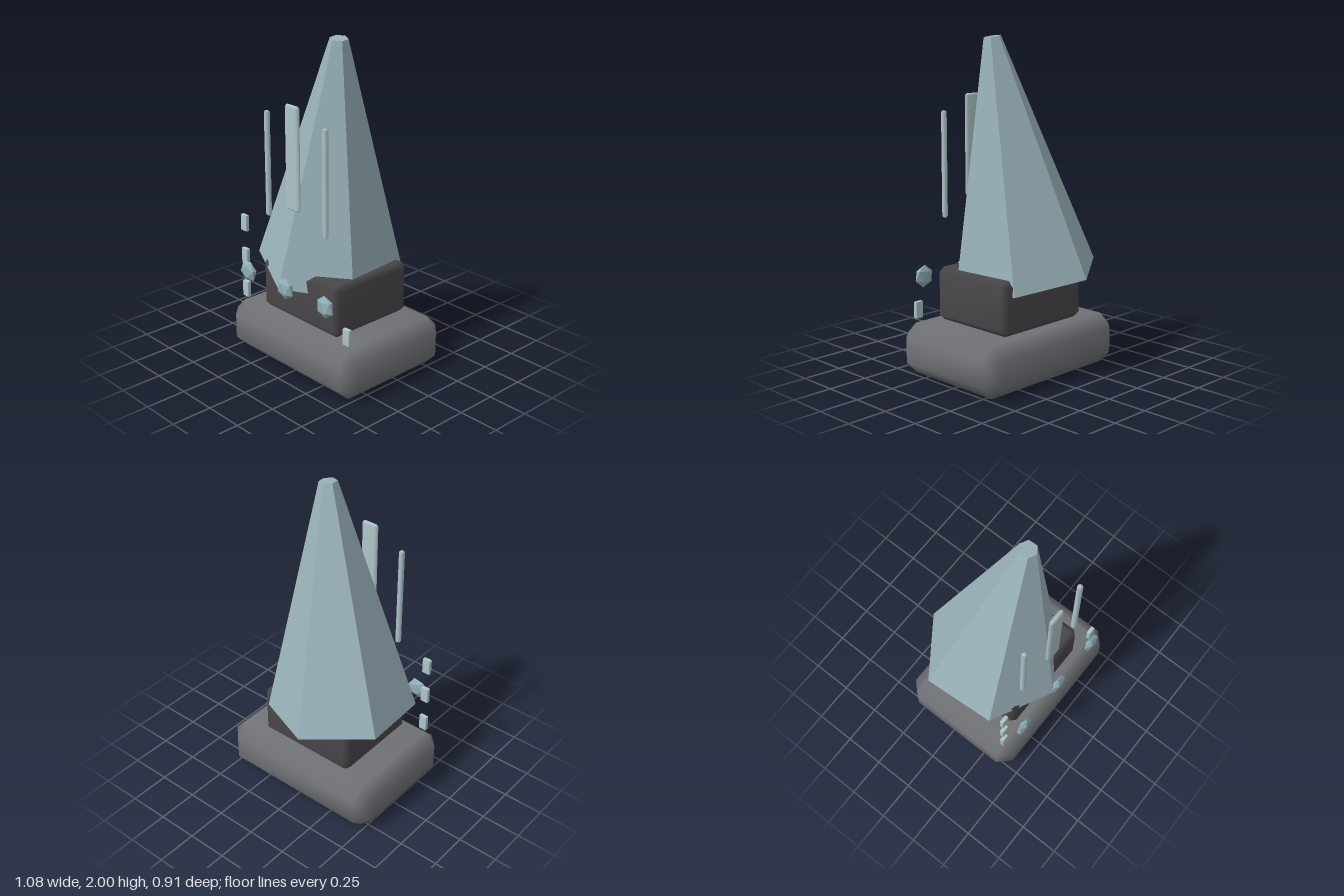
import * as THREE from 'three';
import { mergeVertices } from 'three/addons/utils/BufferGeometryUtils.js';
import { ConvexGeometry } from 'three/addons/geometries/ConvexGeometry.js';

const material = (name, color, flatShading = false) => {
  const m = new THREE.MeshStandardMaterial({ color, flatShading });
  m.name = name;
  return m;
};

// Box with one-step chamfers and soft normals
function chamferBox(w, h, d, c) {
  const half = [w / 2, h / 2, d / 2];
  const points = [];
  for (const sx of [-1, 1]) for (const sy of [-1, 1]) for (const sz of [-1, 1]) {
    for (let axis = 0; axis < 3; axis++) {
      const [x, y, z] = half.map((v, i) => (i === axis ? v : v - c));
      points.push(new THREE.Vector3(sx * x, sy * y, sz * z));
    }
  }
  let g = new ConvexGeometry(points);
  g.deleteAttribute('normal');
  g = mergeVertices(g, 1e-5);
  g.computeVertexNormals();
  return g;
}

export function createModel() {
  const model = new THREE.Group();
  model.name = 'crystalSpire';
  const stone = material('grey stone', 0x707276);
  const dark = material('dark stone', 0x4a474b);
  const crystal = material('blue grey crystal', 0x9ab3bb, true);
  const pale = material('pale crystal', 0xafc6ca);
  const gemBlue = material('gem blue', 0x8fb0b8, true);

  const add = (name, geometry, mat, x, y, z) => {
    const mesh = new THREE.Mesh(geometry, mat);
    mesh.name = name;
    mesh.position.set(x, y, z);
    model.add(mesh);
    return mesh;
  };

  // Plinth and block
  add('plinth', chamferBox(1.08, 0.31, 0.8, 0.077), stone, 0, 0.155, 0.04);
  add('block', chamferBox(0.66, 0.325, 0.585, 0.035), dark, 0, 0.4725, 0.04);

  // Leaning six-sided spire
  const foot = new THREE.Vector3(-0.094, 0.575, -0.01);
  const tip = new THREE.Vector3(0.091, 1.993, 0.087);
  const axis = tip.clone().sub(foot);
  const mid = foot.clone().add(tip).multiplyScalar(0.5);
  const spire = add('spire', new THREE.CylinderGeometry(0.053, 0.448, axis.length(), 6, 1, false, 0.09),
    crystal, mid.x, mid.y, mid.z);
  spire.quaternion.setFromUnitVectors(new THREE.Vector3(0, 1, 0), axis.normalize());

  // Floating front plate and side rods
  add('frontPlate', chamferBox(0.11, 0.62, 0.033, 0.013), pale, 0, 1.335, 0.357);
  const rod = chamferBox(0.033, 0.64, 0.033, 0.01);
  for (const s of [-1, 1]) add(s < 0 ? 'rightRod' : 'leftRod', rod, pale, s * 0.247, 1.24, 0.335);

  // Small floating chips
  const chip = chamferBox(0.053, 0.103, 0.026, 0.004);
  for (const [x, y] of [[-0.45, 0.388], [-0.45, 0.605], [-0.45, 0.822], [0.447, 0.388]]) {
    add('chip', chip, pale, x, y, 0.358);
  }

  // Flattened gems along the front
  [-0.34, 0, 0.34].forEach((x, i) => {
    const gem = add('gem', new THREE.IcosahedronGeometry(0.069, 0), gemBlue, x, 0.56, 0.428);
    gem.scale.z = 0.38;
    gem.rotation.z = [0.2, 0.55, 0.65][i];
  });
  return model;
}
